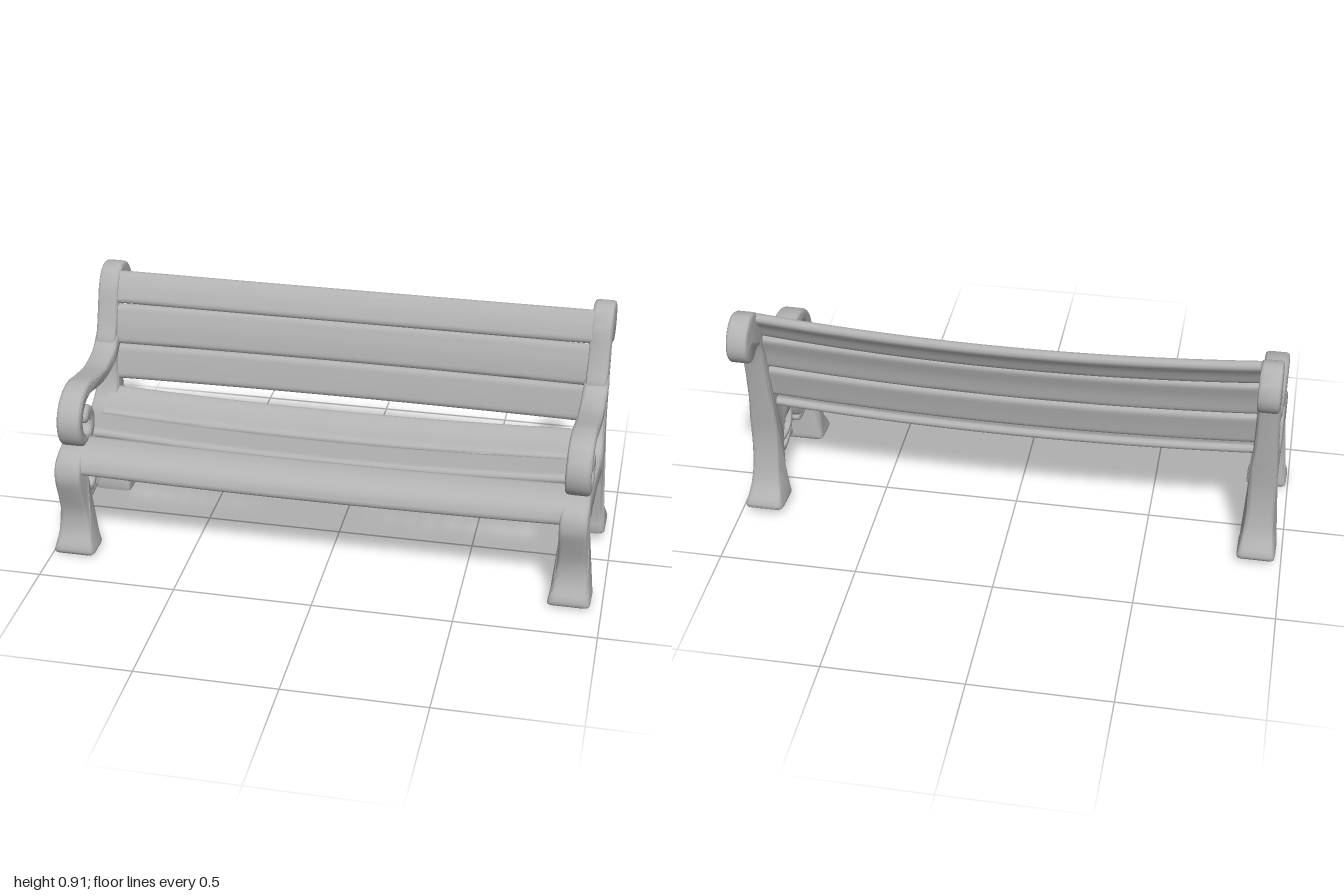
import * as THREE from 'three';
import { mergeVertices, toCreasedNormals } from 'three/addons/utils/BufferGeometryUtils.js';

const V = (p) => new THREE.Vector3(p[0], p[1], 0);

// smooth closed outline through [z, y] points
function outline(pts, div = 3) {
  const c = new THREE.CatmullRomCurve3(pts.map(V), true, 'centripetal').getPoints(pts.length * div);
  c.pop();
  return c.map((p) => new THREE.Vector2(p.x, p.y));
}

// thick rounded line along [z, y] points; r(t) is the half thickness
function stroke(pts, r, n = pts.length * 5) {
  const curve = new THREE.CatmullRomCurve3(pts.map(V), false, 'centripetal');
  const left = [], right = [];
  const at = (t, angle) => {
    const p = curve.getPoint(t), d = curve.getTangent(t);
    const a = Math.atan2(d.y, d.x) + angle;
    return new THREE.Vector2(p.x + Math.cos(a) * r(t), p.y + Math.sin(a) * r(t));
  };
  for (let i = 0; i <= n; i++) {
    left.push(at(i / n, Math.PI / 2));
    right.unshift(at(i / n, -Math.PI / 2));
  }
  const cap = (t, start) => [1, 2, 3, 4].map((k) => at(t, start - (k * Math.PI) / 5));
  return [...left, ...cap(1, Math.PI / 2), ...right, ...cap(0, -Math.PI / 2)];
}

// extrude a [z, y] outline across x, then move every vertex by a rule
function extrude(points, width, bevel, steps, rule, hole) {
  const shape = new THREE.Shape(points);
  if (hole) shape.holes.push(new THREE.Path(hole));
  let g = new THREE.ExtrudeGeometry(shape, {
    depth: width - 2 * bevel, steps, bevelEnabled: bevel > 0,
    bevelSize: bevel, bevelThickness: bevel, bevelOffset: -bevel, bevelSegments: 4,
  });
  g.translate(0, 0, bevel - width / 2);
  g.rotateY(-Math.PI / 2);
  const pos = g.attributes.position, v = new THREE.Vector3();
  for (let i = 0; i < pos.count; i++) {
    rule(v.fromBufferAttribute(pos, i));
    pos.setXYZ(i, v.x, v.y, v.z);
  }
  g.deleteAttribute('uv');
  g.deleteAttribute('normal');
  g = mergeVertices(g, 1e-5);
  return toCreasedNormals(g, 0.85);
}

// legs, seat rail and back post with its rolled top
const FRAME = [
  [0.345, 0.008], [0.29, 0.005], [0.238, 0.012], [0.236, 0.05], [0.245, 0.165], [0.25, 0.25],
  [0.26, 0.3], [0.25, 0.328], [0.21, 0.337], [0.11, 0.335], [0.075, 0.34], [-0.01, 0.328],
  [-0.07, 0.32], [-0.095, 0.27], [-0.106, 0.2], [-0.12, 0.1], [-0.122, 0.034], [-0.18, 0.028],
  [-0.25, 0.036], [-0.255, 0.055], [-0.215, 0.115], [-0.19, 0.2], [-0.178, 0.32], [-0.188, 0.44],
  [-0.207, 0.61], [-0.222, 0.705], [-0.24, 0.76], [-0.262, 0.755], [-0.3, 0.735], [-0.335, 0.745],
  [-0.362, 0.79], [-0.354, 0.845], [-0.323, 0.887], [-0.275, 0.905], [-0.226, 0.887], [-0.19, 0.84],
  [-0.166, 0.766], [-0.142, 0.694], [-0.122, 0.645], [-0.123, 0.593], [-0.118, 0.513], [-0.094, 0.446],
  [-0.058, 0.414], [0.002, 0.408], [0.09, 0.414], [0.178, 0.425], [0.26, 0.422], [0.304, 0.407],
  [0.342, 0.378], [0.358, 0.32], [0.34, 0.248], [0.318, 0.164], [0.323, 0.09], [0.35, 0.03],
];
const EYE = [[-0.285, 0.825], [-0.284, 0.805], [-0.298, 0.794], [-0.306, 0.805], [-0.3, 0.826]];

// armrest ending in a spiral
const ARM = [
  [-0.155, 0.64], [-0.12, 0.607], [-0.07, 0.59], [0, 0.58], [0.087, 0.589], [0.183, 0.604], [0.24, 0.587],
  [0.28, 0.545], [0.291, 0.5], [0.277, 0.455], [0.235, 0.425], [0.19, 0.432], [0.168, 0.465],
  [0.172, 0.503], [0.198, 0.524], [0.216, 0.508],
];

// scrollwork below the seat rail: path and half thickness
const SCROLLS = [
  [[[0.25, 0.3], [0.236, 0.25], [0.215, 0.21], [0.18, 0.195], [0.145, 0.21], [0.122, 0.25], [0.12, 0.29],
    [0.14, 0.32], [0.18, 0.327], [0.225, 0.318]], () => 0.016],
  [[[0.245, 0.195], [0.215, 0.183], [0.18, 0.178], [0.145, 0.182]], () => 0.015],
  [[[0.235, 0.268], [0.21, 0.264]], () => 0.006],
  [[[0.045, 0.34], [0.062, 0.3], [0.055, 0.25], [0.03, 0.205], [-0.01, 0.177], [-0.05, 0.172],
    [-0.082, 0.19], [-0.1, 0.225]], () => 0.013],
  [[[0.047, 0.182], [0.02, 0.195]], () => 0.011],
  [[[0.035, 0.225], [0, 0.213], [-0.04, 0.214], [-0.09, 0.225]], () => 0.01],
  [[[0.055, 0.3], [0.035, 0.325], [0, 0.338]], () => 0.014],
  [[[-0.095, 0.24], [-0.075, 0.26], [-0.05, 0.272], [-0.018, 0.278]], (t) => 0.014 - 0.01 * t],
  [[[-0.085, 0.305], [-0.068, 0.285], [-0.05, 0.278]], (t) => 0.013 - 0.007 * t],
];

export function createModel() {
  const bench = new THREE.Group();
  bench.name = 'parkBench';
  const grey = new THREE.MeshStandardMaterial({ color: 0xb2b2b2 });
  grey.name = 'plain grey';
  const add = (parent, name, geometry) => {
    const m = new THREE.Mesh(geometry, grey);
    m.name = name;
    parent.add(m);
  };

  // two end frames, slightly uneven as if hand cast
  for (const left of [true, false]) {
    const place = (v) => {
      if (left) {
        v.x += 0.898 - 0.04 * v.z;
        return;
      }
      const low = Math.max(0, 1 - v.y / 0.35);
      v.x += -0.913 - 0.02 * v.z;
      v.y -= low * (v.z < 0 ? 0.013 : 0.005);
      v.z += 0.006 + (v.z < 0 ? 0.022 * low : 0);
    };
    // wider below the seat, flaring at the feet
    const flare = (v) => {
      const seat = THREE.MathUtils.smoothstep(0.55 - v.y, 0, 0.2) * 0.022;
      const foot = 0.06 * Math.max(0, (0.22 - v.y) / 0.22) ** 2;
      v.x *= (0.076 + seat + foot) / 0.08;
      place(v);
    };
    const end = new THREE.Group();
    end.name = left ? 'leftEndFrame' : 'rightEndFrame';
    bench.add(end);
    add(end, 'legsAndBackPost', extrude(outline(FRAME), 0.08, 0.012, 1, flare, outline(EYE)));
    add(end, 'armrest', extrude(stroke(ARM, (t) => 0.026 - 0.004 * t), 0.088, 0.014, 1, place));
    for (const [path, r] of SCROLLS) {
      add(end, 'scrollwork', extrude(stroke(path, r), 0.055, r(1) * 0.6, 1, place));
    }
  }

  // long slats, sagging towards the middle
  const slat = (name, path, half, dz, dy) => {
    add(bench, name, extrude(stroke(path, () => half, 10), 1.77, 0, 28, (v) => {
      const sag = 1 - (v.x / 0.885) ** 2;
      v.z += dz * sag;
      v.y += dy * sag;
      v.x -= 0.008;
    }));
  };
  slat('lowerBackSlat', [[-0.14, 0.507], [-0.148, 0.555], [-0.158, 0.606]], 0.017, -0.03, -0.008);
  slat('middleBackSlat', [[-0.16, 0.642], [-0.17, 0.7], [-0.187, 0.756]], 0.017, -0.033, -0.01);
  slat('upperBackSlat', [[-0.192, 0.793], [-0.21, 0.835], [-0.232, 0.868]], 0.018, -0.036, -0.018);
  slat('rearSeatSlat', [[-0.125, 0.447], [-0.07, 0.422], [-0.01, 0.407]], 0.016, -0.008, -0.026);
  slat('middleSeatSlat', [[0.03, 0.407], [0.09, 0.411], [0.158, 0.415]], 0.017, 0.008, -0.024);
  slat('frontSeatSlat', [[0.222, 0.412], [0.275, 0.403], [0.315, 0.38], [0.328, 0.35]], 0.018, -0.008, -0.016);
  return bench;
}
